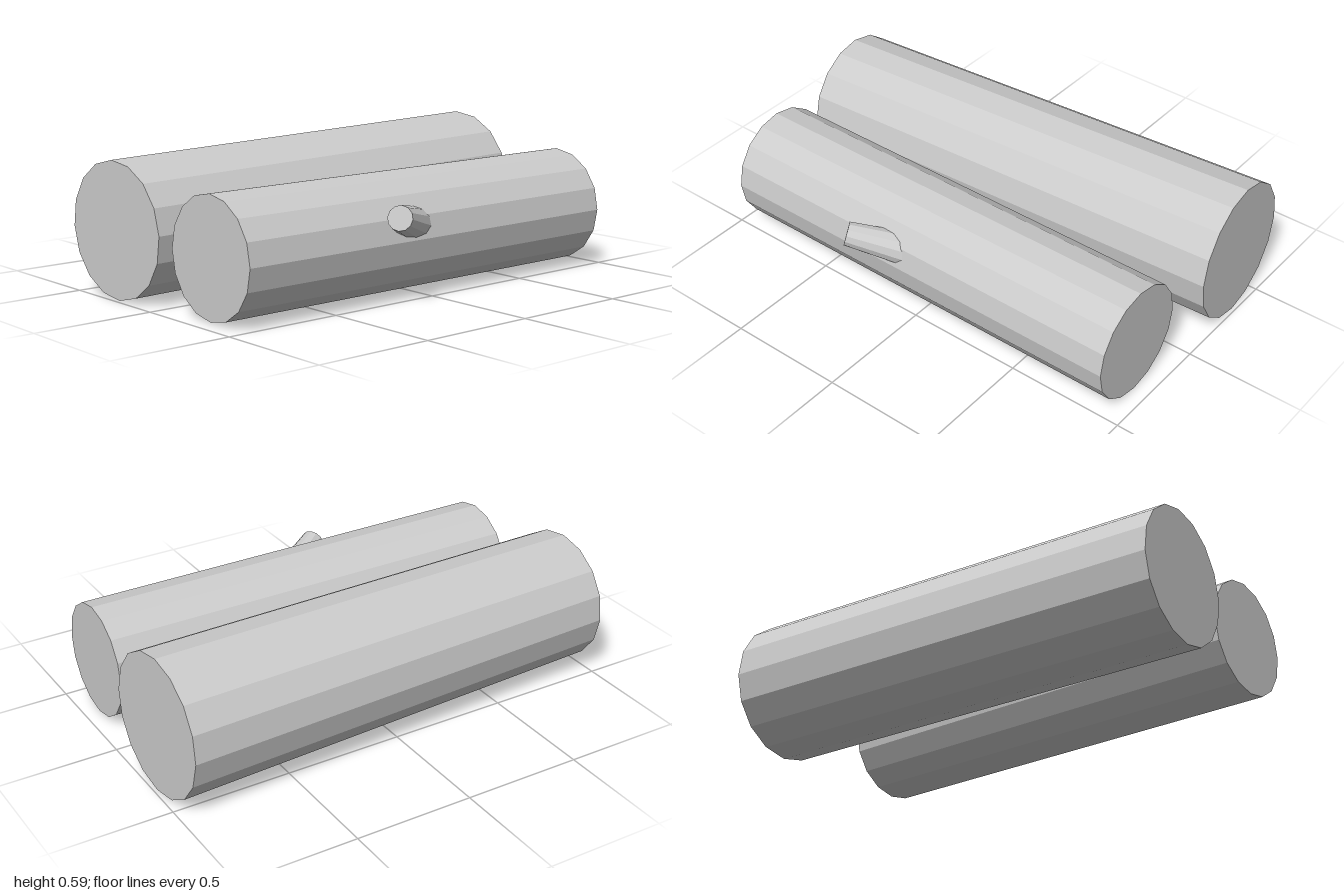
import * as THREE from 'three';

const material = new THREE.MeshStandardMaterial({ color: 0xcccccc, flatShading: true });

// Tapered round timber running between two end centres
function taperedPole(name, from, to, radiusFrom, radiusTo, sides) {
  const a = new THREE.Vector3(...from);
  const b = new THREE.Vector3(...to);
  const axis = b.clone().sub(a);
  const geometry = new THREE.CylinderGeometry(radiusTo, radiusFrom, axis.length(), sides);
  const mesh = new THREE.Mesh(geometry, material);
  mesh.name = name;
  mesh.position.copy(a).add(b).multiplyScalar(0.5);
  mesh.quaternion.setFromUnitVectors(new THREE.Vector3(0, 1, 0), axis.normalize());
  return mesh;
}

export function createModel() {
  const model = new THREE.Group();
  model.name = 'logs';

  // Thick rear log, slightly turned and thinner toward one end
  model.add(taperedPole('backLog', [-0.985, 0.28, -0.249], [0.982, 0.297, -0.352], 0.277, 0.294, 16));

  // Straight front log
  model.add(taperedPole('frontLog', [-0.933, 0.248, 0.298], [0.937, 0.248, 0.298], 0.241, 0.241, 16));

  // Branch stub growing out of the front log
  model.add(taperedPole('branchStub', [-0.023, 0.283, 0.438], [-0.265, 0.36, 0.598], 0.074, 0.05, 12));

  return model;
}
